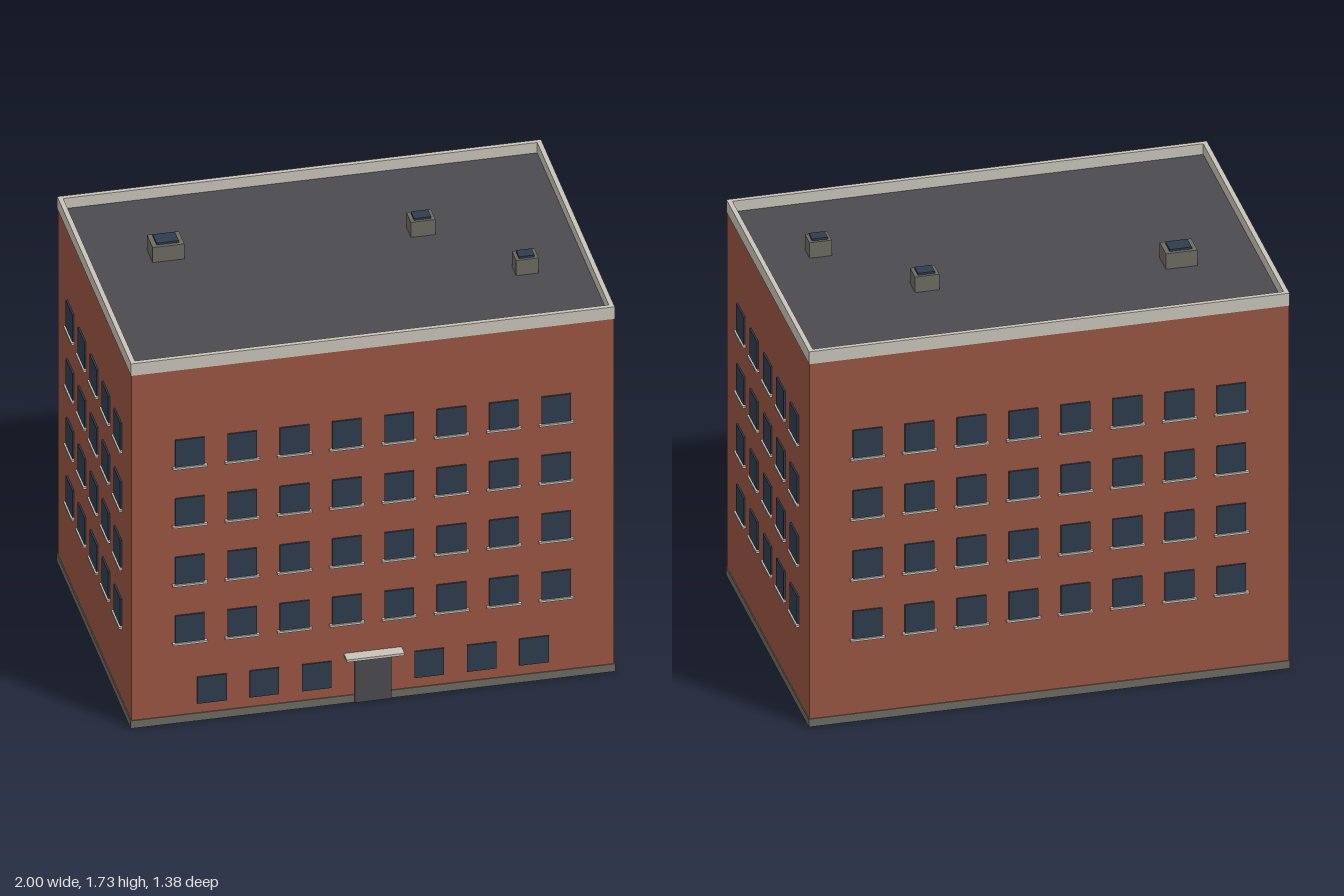
import * as THREE from 'three';

const mat = (name, color) => {
  const m = new THREE.MeshStandardMaterial({ color });
  m.name = name;
  return m;
};

export function createModel() {
  const brick = mat('brick', 0x985542);
  const glass = mat('glass', 0x2e3c4e);
  const stone = mat('pale stone', 0xc8c4b9);
  const plinthGrey = mat('plinth grey', 0x6c6b61);
  const dark = mat('roof grey', 0x4b4a4f);

  const model = new THREE.Group();
  model.name = 'building';
  const body = new THREE.Group();
  body.name = 'body';
  body.position.z = -0.0205;
  model.add(body);

  // Box helper: y is the bottom of the box
  const box = (parent, name, material, w, h, d, x, y, z) => {
    const mesh = new THREE.Mesh(new THREE.BoxGeometry(w, h, d), material);
    mesh.name = name;
    mesh.position.set(x, y + h / 2, z);
    parent.add(mesh);
    return mesh;
  };

  const HX = 0.986, HZ = 0.6585, ROOF = 1.646, TOP = 1.696, PLINTH = 0.035;

  // Main volume
  box(body, 'plinth', plinthGrey, 2 * HX + 0.008, PLINTH, 2 * HZ + 0.008, 0, 0, 0);
  box(body, 'walls', brick, 2 * HX, ROOF - PLINTH - 0.006, 2 * HZ, 0, PLINTH, 0);
  box(body, 'roof', dark, 2 * HX - 0.02, 0.008, 2 * HZ - 0.02, 0, ROOF - 0.006, 0);

  // Parapet ring
  const rect = (P, hx, hz) => new P().moveTo(-hx, -hz).lineTo(hx, -hz).lineTo(hx, hz).lineTo(-hx, hz).closePath();
  const ring = rect(THREE.Shape, HX + 0.002, HZ + 0.002);
  ring.holes.push(rect(THREE.Path, HX - 0.018, HZ - 0.018));
  const parapetGeo = new THREE.ExtrudeGeometry(ring, { depth: TOP - ROOF + 0.006, bevelEnabled: false });
  parapetGeo.rotateX(-Math.PI / 2);
  const parapet = new THREE.Mesh(parapetGeo, stone);
  parapet.name = 'parapet';
  parapet.position.y = ROOF - 0.006;
  body.add(parapet);

  // One facade: its local +z points out of the wall
  const PITCH = 0.2138;
  const facade = (name, angle, distance, columns) => {
    const side = new THREE.Group();
    side.name = name;
    side.rotation.y = angle;
    side.position.set(Math.sin(angle) * distance, 0, Math.cos(angle) * distance);
    body.add(side);
    for (let row = 0; row < 4; row++) {
      for (let c = 0; c < columns; c++) {
        const x = (c - (columns - 1) / 2) * PITCH;
        const y = 0.375 + row * 0.2725;
        box(side, 'window', glass, 0.12, 0.125, 0.007, x, y, 0.0035);
        box(side, 'sill', stone, 0.142, 0.009, 0.014, x, y - 0.009, 0.007);
      }
    }
    return side;
  };
  const front = facade('frontFacade', 0, HZ, 8);
  facade('backFacade', Math.PI, HZ, 8);
  facade('leftFacade', Math.PI / 2, HX, 5);
  facade('rightFacade', -Math.PI / 2, HX, 5);

  // Ground floor of the front: windows, door and canopy
  for (const s of [-1, 1]) {
    for (let i = 0; i < 3; i++) {
      box(front, 'groundWindow', glass, 0.12, 0.123, 0.006, s * (0.23 + i * PITCH), 0.08, 0.003);
    }
  }
  box(front, 'door', dark, 0.15, 0.206, 0.009, 0, 0, 0.0045);
  box(front, 'canopy', stone, 0.236, 0.011, 0.052, 0, 0.219, 0.026);

  // Rooftop skylights: [x, z, width, depth]
  const skylights = [
    [-0.648, -0.228, 0.13, 0.1],
    [0.383, -0.178, 0.1, 0.08],
    [0.722, 0.204, 0.092, 0.075],
  ];
  for (const [x, z, w, d] of skylights) {
    const skylight = new THREE.Group();
    skylight.name = 'skylight';
    skylight.position.set(x, ROOF, z);
    box(skylight, 'curb', plinthGrey, w, 0.072, d, 0, 0, 0);
    box(skylight, 'skylightGlass', glass, w * 0.7, 0.009, d * 0.7, 0, 0.072, 0);
    model.add(skylight);
  }

  return model;
}
